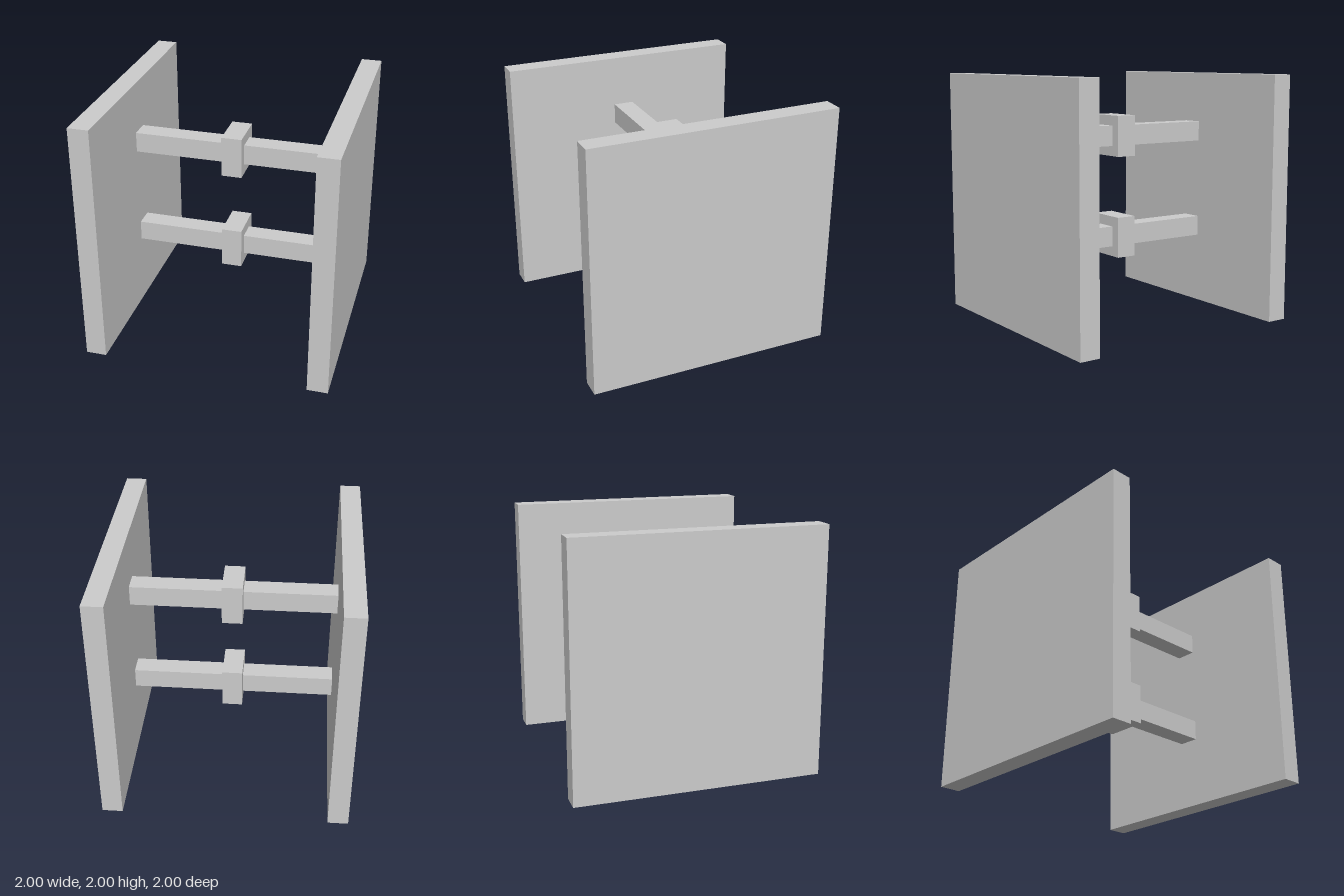
import * as THREE from 'three';

const U = 1 / 6; // panel thickness, also the bar width

export function createModel() {
  const group = new THREE.Group();
  const material = new THREE.MeshStandardMaterial({ color: 0xcccccc, flatShading: true });

  function addBox(name, size, position) {
    const mesh = new THREE.Mesh(new THREE.BoxGeometry(...size), material);
    mesh.name = name;
    mesh.position.set(...position);
    group.add(mesh);
  }

  // Square side panels
  for (const [side, s] of [['left', 1], ['right', -1]]) {
    addBox(side + 'Panel', [U, 2, 2], [s * (1 - U / 2), 1, 0]);
  }

  // Two crossbars, each with a wider collar in the middle
  for (const [level, y] of [['lower', 4 * U], ['upper', 9 * U]]) {
    for (const [side, s] of [['Left', 1], ['Right', -1]]) {
      const inner = U / 2, outer = 1 - U;
      addBox(level + side + 'Bar', [outer - inner, U, U], [s * (inner + outer) / 2, y, 0]);
    }
    addBox(level + 'Collar', [U, 2 * U, 2 * U], [0, y, 0]);
  }

  return group;
}
